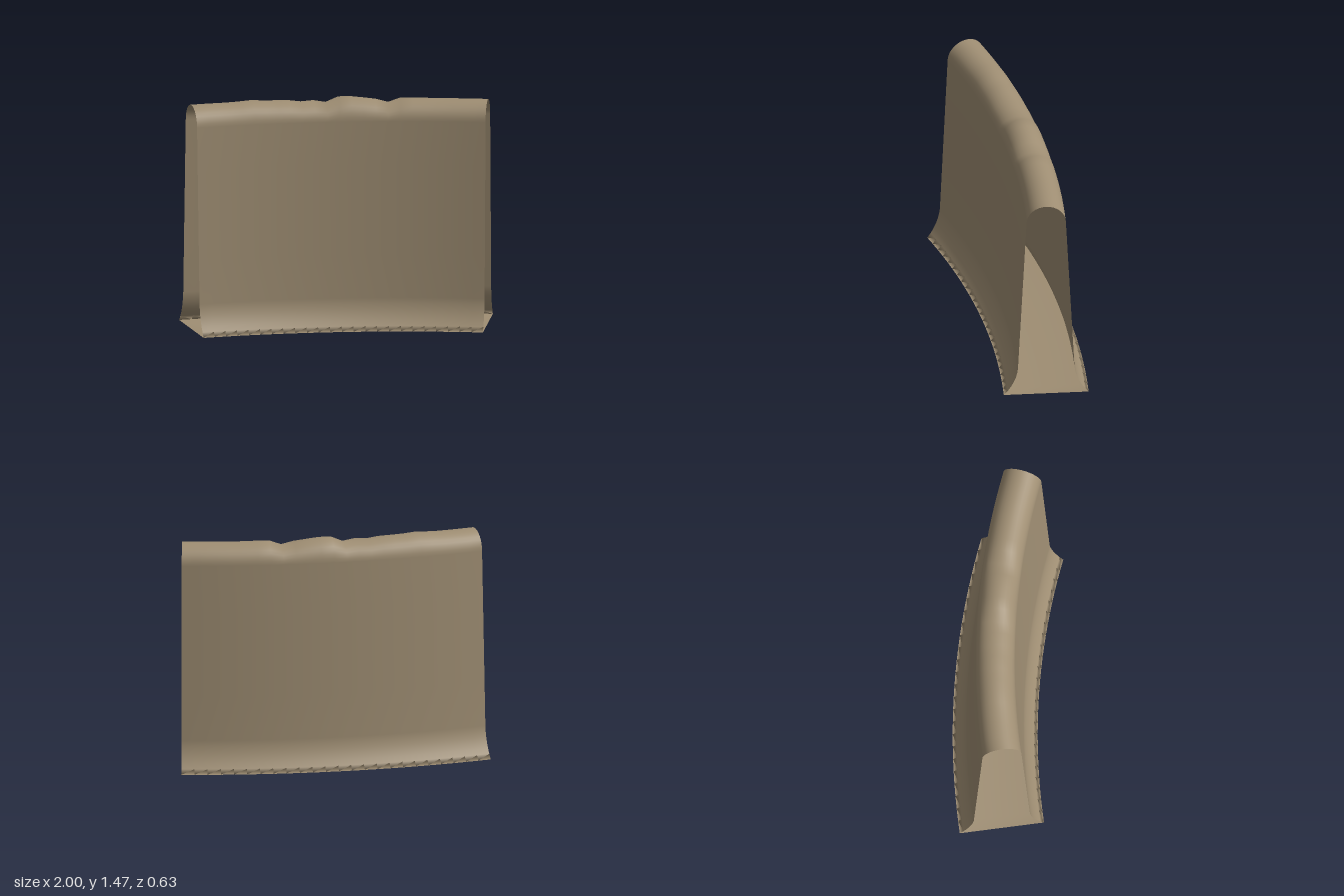
import * as THREE from 'three';

const RADIUS = 4.65;      // plan radius of the wall's centre line
const CENTRE_Z = 4.6;     // plan centre of the bend
const HALF_ANGLE = 0.2046;
const SEGMENTS = 24;

// Worn crown: height offset at each station from right to left
const CROWN = [0, 0, 0, 0, 0.003, 0.008, 0.002, 0, -0.002, -0.013, -0.007, -0.021, 0.014,
  0.014, 0.005, -0.005, -0.026, 0.003, 0.003, 0.001, 0, 0, 0, 0, 0];

// Half section as [offset, height, crown weight]: flared foot, leaning face, round crown
function halfSection() {
  const foot = new THREE.QuadraticBezierCurve(
    new THREE.Vector2(0.27, 0), new THREE.Vector2(0.19, 0.09), new THREE.Vector2(0.18, 0.2));
  const points = foot.getPoints(6).map((p) => [p.x, p.y, 0]);
  for (let k = 1; k < 4; k++) {
    points.push([0.18 - 0.055 * k / 4, 0.2 + 1.135 * k / 4, 0]);
  }
  for (let k = 0; k <= 8; k++) {
    const a = k / 8 * Math.PI / 2;
    points.push([0.125 * Math.cos(a), 1.335 + 0.122 * Math.sin(a), Math.sin(a)]);
  }
  return points;
}

// Sweep the closed section (the last strip is the underside) along the bend
function wallGeometry() {
  const half = halfSection();
  const back = half.slice(0, -1).reverse().map(([s, y, w]) => [-s, y, w]);
  const section = [...half, ...back];
  const n = section.length;
  const positions = [];
  const index = [];
  for (let i = 0; i <= SEGMENTS; i++) {
    const a = (i / SEGMENTS * 2 - 1) * HALF_ANGLE;
    for (const [s, y, w] of section) {
      const r = RADIUS - s;
      positions.push(r * Math.sin(a), y + CROWN[i] * w, CENTRE_Z - r * Math.cos(a));
    }
  }
  for (let i = 0; i < SEGMENTS; i++) {
    for (let j = 0; j < n; j++) {
      const k = (j + 1) % n;
      const a = i * n + j, b = a + n, c = (i + 1) * n + k, d = i * n + k;
      index.push(a, b, c, a, c, d);
    }
  }
  const geometry = new THREE.BufferGeometry();
  geometry.setAttribute('position', new THREE.Float32BufferAttribute(positions, 3));
  geometry.setIndex(index);
  geometry.computeVertexNormals();
  return geometry;
}

export function createModel() {
  const group = new THREE.Group();
  group.name = 'curvedWallSection';
  // Hollow shell with open ends
  const wall = new THREE.Mesh(wallGeometry(),
    new THREE.MeshStandardMaterial({ color: 0x9f8e73, side: THREE.DoubleSide }));
  wall.name = 'wallShell';
  group.add(wall);
  return group;
}
